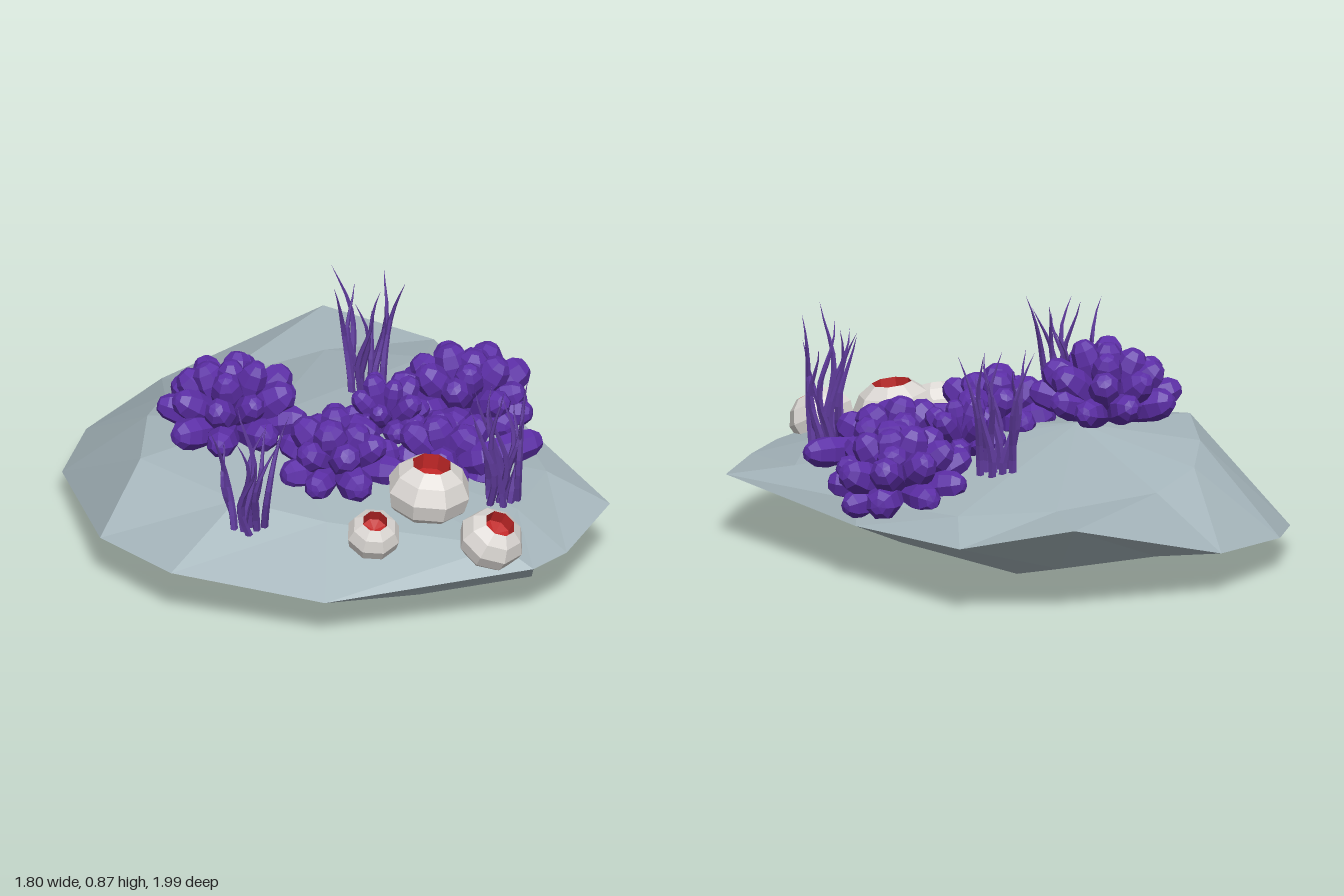
import * as THREE from 'three';

let seed = 7;
const rnd = () => (seed = (seed * 16807) % 2147483647) / 2147483647;
const vary = (a) => (rnd() - 0.5) * 2 * a;

const paint = (name, color, side = THREE.FrontSide) => {
  const m = new THREE.MeshStandardMaterial({ color, flatShading: true, side });
  m.name = name;
  return m;
};

// Faceted slab: a rim with one inner ring and a peak above, and the same below
function rockGeometry() {
  const rim = [[-0.2, 0.17, -1], [0.44, 0.35, -0.97], [0.77, 0.27, -0.7], [0.825, 0.23, -0.1],
    [0.88, 0.26, 0.67], [0.6, 0.24, 0.91], [0.43, 0.25, 0.99], [-0.33, 0.18, 0.8],
    [-0.79, 0.22, 0.43], [-0.91, 0.2, 0.05], [-0.77, 0.1, -0.62], [-0.58, 0.13, -0.83]];
  const upper = [[-0.15, 0.33, -0.65], [0.32, 0.34, -0.68], [0.64, 0.33, -0.5], [0.78, 0.31, -0.05],
    [0.72, 0.32, 0.45], [0.5, 0.33, 0.68], [0.35, 0.31, 0.88], [-0.2, 0.35, 0.52],
    [-0.47, 0.39, 0.3], [-0.69, 0.42, -0.08], [-0.53, 0.41, -0.38], [-0.38, 0.37, -0.56]];
  const lower = [[-0.1, 0.11, -0.72], [0.25, 0.09, -0.6], [0.32, 0.04, -0.42], [0.55, 0.1, 0],
    [0.55, 0.1, 0.4], [0.52, 0.11, 0.68], [0.48, 0.14, 0.86], [0.05, 0.13, 0.8],
    [-0.6, 0.11, 0.35], [-0.62, 0.1, 0.05], [-0.5, 0.085, -0.4], [-0.3, 0.07, -0.5]];
  const peak = [-0.17, 0.47, -0.1], base = [0.03, 0, 0.23], pos = [];
  const tri = (...pts) => pts.forEach((p) => pos.push(...p));
  for (let i = 0; i < rim.length; i++) {
    const j = (i + 1) % rim.length;
    tri(rim[j], rim[i], upper[i]);
    tri(rim[j], upper[i], upper[j]);
    tri(upper[j], upper[i], peak);
    tri(rim[i], rim[j], lower[i]);
    tri(rim[j], lower[j], lower[i]);
    tri(lower[i], lower[j], base);
  }
  const g = new THREE.BufferGeometry();
  g.setAttribute('position', new THREE.Float32BufferAttribute(pos, 3));
  g.computeVertexNormals();
  return g;
}

const lathe = (pts, sides) =>
  new THREE.LatheGeometry(pts.map(([x, y]) => new THREE.Vector2(x, y)), sides);

// Blunt club-shaped lobe, one unit long
const lobeGeometry = lathe([[0.5, 0], [0.88, 0.42], [1, 0.7], [0.84, 0.88], [0.46, 0.98], [0, 1]], 7);

// Lobes radiating from one point; each tier is [count, elevation, length]
function coral(mat, { at, tiers, tilt = [0, 0], width = 0.062 }) {
  const g = new THREE.Group();
  g.name = 'coralCluster';
  const up = new THREE.Vector3(0, 1, 0);
  tiers.forEach(([count, elevation, length], t) => {
    for (let i = 0; i < count; i++) {
      const a = ((i + t * 0.5) / count) * Math.PI * 2 + vary(0.1) + t * 0.3;
      const e = elevation + vary(0.08);
      const lobe = new THREE.Mesh(lobeGeometry, mat);
      lobe.name = 'coralLobe';
      lobe.quaternion.setFromUnitVectors(up,
        new THREE.Vector3(Math.cos(a) * Math.cos(e), Math.sin(e), Math.sin(a) * Math.cos(e)));
      const w = width * (1 + vary(0.1));
      lobe.scale.set(w, length * (1 + vary(0.08)), w);
      g.add(lobe);
    }
  });
  g.position.set(...at);
  g.rotation.set(tilt[0], 0, tilt[1]);
  return g;
}

// Tuft of thin, wavy, pointed blades
function grass(mat, { at, height, count = 9 }) {
  const g = new THREE.Group();
  g.name = 'grassTuft';
  for (let i = 0; i < count; i++) {
    const a = i * 2.4, r = 0.068 * Math.sqrt((i + 0.5) / count);
    const h = height * (0.7 + 0.3 * rnd());
    const geo = new THREE.ConeGeometry(0.015, h, 5, 8);
    geo.translate(0, h / 2, 0);
    const p = geo.attributes.position;
    const lean = 0.04 + 0.06 * rnd(), phase = rnd() * 6;
    for (let k = 0; k < p.count; k++) {
      const t = p.getY(k) / h, full = 1 + t;
      const wave = 0.024 * (Math.sin(t * 6 + phase) - Math.sin(phase));
      p.setX(k, p.getX(k) * full + Math.cos(a) * lean * t * t - Math.sin(a) * wave);
      p.setZ(k, p.getZ(k) * full + Math.sin(a) * lean * t * t + Math.cos(a) * wave);
    }
    geo.computeVertexNormals();
    const blade = new THREE.Mesh(geo, mat);
    blade.name = 'grassBlade';
    blade.position.set(Math.cos(a) * r, 0, Math.sin(a) * r);
    g.add(blade);
  }
  g.position.set(...at);
  return g;
}

// Pale round pod with a hollow red mouth
const podShell = lathe([[0, -0.95], [0.55, -0.82], [0.92, -0.35], [1, 0.1], [0.8, 0.55], [0.47, 0.84]], 8);
const podMouth = lathe([[0.47, 0.84], [0.44, 0.4], [0, 0.28]], 8);
function pod(shellMat, mouthMat, { at, size, tilt }) {
  const g = new THREE.Group();
  g.name = 'pod';
  [['podShell', podShell, shellMat], ['podMouth', podMouth, mouthMat]].forEach(([name, geo, mat]) => {
    const m = new THREE.Mesh(geo, mat);
    m.name = name;
    g.add(m);
  });
  g.position.set(...at);
  g.scale.set(size[0], size[1], size[0]);
  g.rotation.set(tilt[0], 0, tilt[1]);
  return g;
}

export function createModel() {
  const model = new THREE.Group();
  model.name = 'reefRock';
  const stone = paint('stone grey', 0xa5b5bb);
  const purple = paint('coral purple', 0x5c2ea6);
  const violet = paint('grass violet', 0x5e3a9a);
  const white = paint('pod white', 0xdcd8d4);
  const red = paint('mouth red', 0xbe2626, THREE.DoubleSide);

  const rock = new THREE.Mesh(rockGeometry(), stone);
  rock.name = 'rock';
  model.add(rock);

  // Coral clusters
  [
    { at: [-0.32, 0.48, -0.08], tiers: [[9, 0.26, 0.29], [8, 0.7, 0.29], [4, 1.15, 0.28], [1, 1.57, 0.29]] },
    { at: [-0.03, 0.4, 0.24], tiers: [[8, 0.2, 0.25], [6, 0.72, 0.23], [3, 1.2, 0.22]], tilt: [0.12, 0] },
    { at: [0.26, 0.4, 0.03], tiers: [[7, 0.35, 0.17], [5, 0.85, 0.2], [2, 1.35, 0.21]], width: 0.044 },
    { at: [0.62, 0.33, -0.08], tiers: [[9, 0.18, 0.28], [8, 0.62, 0.27], [4, 1.1, 0.25], [1, 1.57, 0.24]], tilt: [0, -0.2] },
    { at: [0.38, 0.36, 0.32], tiers: [[7, 0.15, 0.22], [5, 0.65, 0.22], [2, 1.2, 0.2]], tilt: [0.1, -0.1] },
  ].forEach((c) => model.add(coral(purple, c)));

  // Long lobe reaching out to the left side
  const longLobe = new THREE.Mesh(lobeGeometry, purple);
  longLobe.name = 'longCoralLobe';
  longLobe.position.set(0.42, 0.37, 0.34);
  longLobe.rotation.z = -1.5;
  longLobe.scale.set(0.06, 0.33, 0.06);
  model.add(longLobe);

  // Grass tufts
  [
    { at: [-0.48, 0.34, 0.42], height: 0.47 },
    { at: [0.29, 0.38, -0.25], height: 0.53 },
    { at: [0.47, 0.33, 0.6], height: 0.54, count: 11 },
  ].forEach((t) => model.add(grass(violet, t)));

  // Pods
  [
    { at: [0.195, 0.415, 0.56], size: [0.16, 0.138], tilt: [0.08, -0.08] },
    { at: [-0.09, 0.365, 0.7], size: [0.102, 0.097], tilt: [0.4, 0.08] },
    { at: [0.31, 0.345, 0.875], size: [0.126, 0.112], tilt: [0.45, -0.2] },
  ].forEach((p) => model.add(pod(white, red, p)));

  return model;
}
